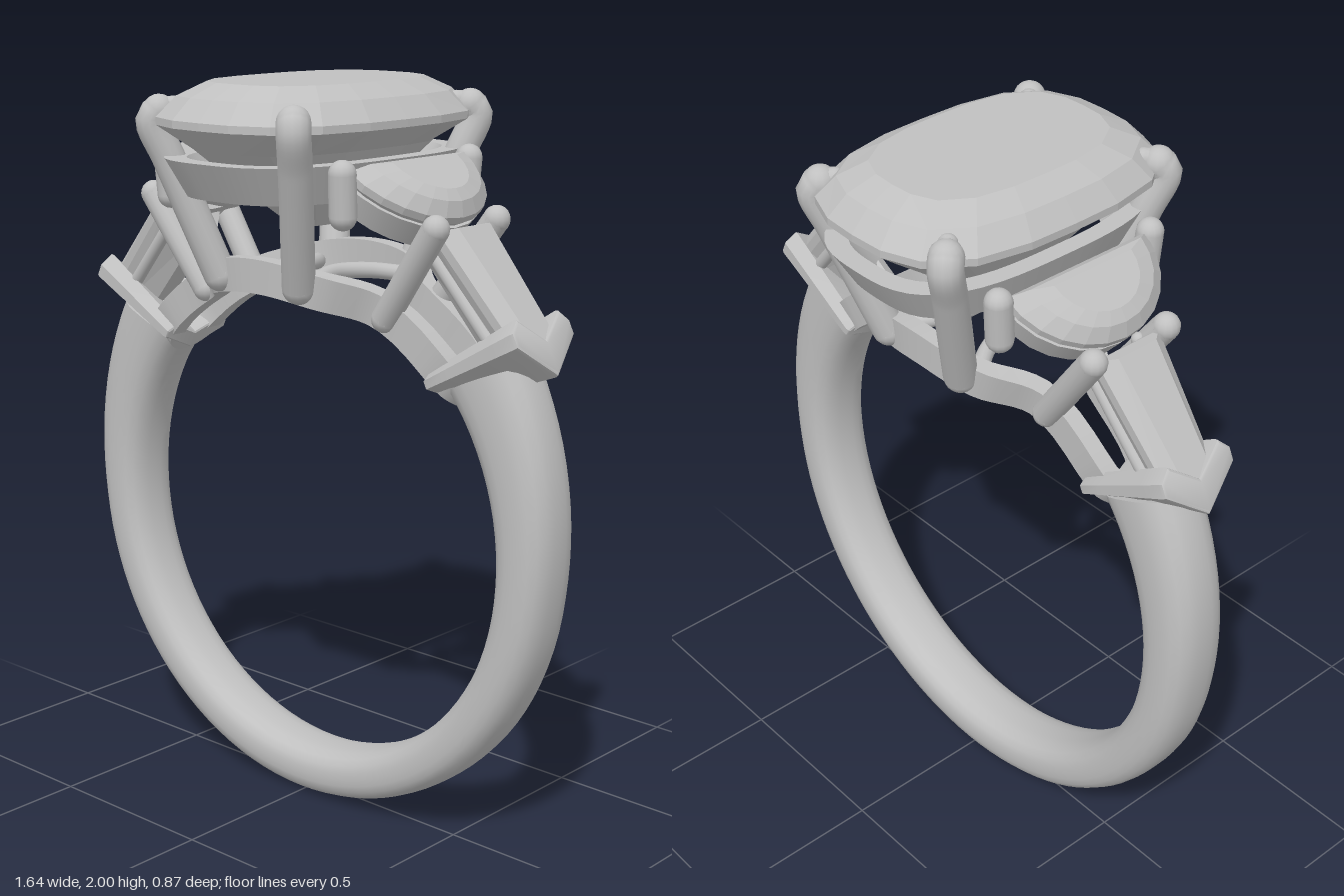
import * as THREE from 'three';
import { toCreasedNormals, mergeVertices } from 'three/addons/utils/BufferGeometryUtils.js';

const silver = new THREE.MeshStandardMaterial({ color: 0xc0c0c0 });
silver.name = 'silver';

const V = (x, y, z) => new THREE.Vector3(x, y, z);
const CY = 0.8, R = 0.66; // finger hole centre height and radius

function add(parent, name, geometry) {
  const mesh = new THREE.Mesh(geometry, silver);
  mesh.name = name;
  parent.add(mesh);
  return mesh;
}

// Skin between loops of equal point count; crease 0 gives flat facets
function loft(rings, { caps = true, crease = 0 } = {}) {
  const pos = [], n = rings[0].length;
  const tri = (...pts) => pts.forEach(p => pos.push(p.x, p.y, p.z));
  for (let k = 0; k < rings.length - 1; k++) {
    for (let i = 0; i < n; i++) {
      const j = (i + 1) % n, a = rings[k], b = rings[k + 1];
      if ((i + k) % 2) { tri(a[i], a[j], b[i]); tri(a[j], b[j], b[i]); }
      else { tri(a[i], a[j], b[j]); tri(a[i], b[j], b[i]); }
    }
  }
  if (caps) {
    [rings[0], rings[rings.length - 1]].forEach((ring, end) => {
      const c = ring.reduce((s, p) => s.add(p), V(0, 0, 0)).divideScalar(n);
      for (let i = 0; i < n; i++) {
        const j = (i + 1) % n;
        if (end) tri(c, ring[i], ring[j]); else tri(c, ring[j], ring[i]);
      }
    });
  }
  const g = new THREE.BufferGeometry();
  g.setAttribute('position', new THREE.Float32BufferAttribute(pos, 3));
  if (crease) return toCreasedNormals(mergeVertices(g), crease);
  g.computeVertexNormals();
  return g;
}

// Round wire with ball ends
function rod(parent, name, points, r) {
  const group = new THREE.Group();
  group.name = name;
  parent.add(group);
  const curve = new THREE.CatmullRomCurve3(points);
  add(group, name + 'Wire', new THREE.TubeGeometry(curve, 8 * points.length, r, 14));
  for (const p of [points[0], points[points.length - 1]]) {
    add(group, name + 'End', new THREE.SphereGeometry(r, 14, 10)).position.copy(p);
  }
}

// Cushion outline with half sizes a, b
function cushion(a, b, y, n = 28, p = 3) {
  return Array.from({ length: n }, (_, i) => {
    const t = (i / n) * Math.PI * 2, c = Math.cos(t), s = Math.sin(t);
    const k = (Math.abs(c) ** p + Math.abs(s) ** p) ** (-1 / p);
    return V(a * c * k, y, b * s * k);
  });
}

// Half-moon outline, scaled about a point inside it
function halfMoon(scale, y, n = 12) {
  return Array.from({ length: n + 1 }, (_, i) => {
    const t = (i / n - 0.5) * Math.PI;
    return V(0.08 + (0.215 * Math.cos(t) - 0.08) * scale, y, 0.23 * Math.sin(t) * scale);
  });
}

// Pointed tapered baguette outline
function baguette(scale, y) {
  const L = 0.35;
  return [[0, -0.105], [L, -0.08], [L + 0.03, 0], [L, 0.08], [0, 0.105]]
    .map(([x, z]) => V(L / 2 + (x - L / 2) * (0.75 + 0.25 * scale), y, z * scale));
}

// Shank: rounded section that thickens toward the shoulders
function shank() {
  const rings = [], N = 72;
  for (let k = 0; k <= N; k++) {
    const s = 1 - (2 * k) / N;
    const a = Math.abs(s) * 130;
    const thick = 0.138 + 0.014 * (a / 90) ** 2 + 0.06 * Math.max(0, (a - 85) / 42) ** 1.5;
    rings.push(cushion(0.5, 0.092, 0, 24, 2.8).map(p => {
      const t = p.x + 0.5, r = R + thick * t;
      const ang = THREE.MathUtils.degToRad(-90 + s * (132 - 5 * t));
      return V(r * Math.cos(ang), CY + r * Math.sin(ang), p.z);
    }));
  }
  return loft(rings, { crease: 0.8 });
}

// Lower gallery: a loop bent around the finger hole
function lowerGallery() {
  const half = [[0.62, 0], [0.58, 0.06], [0.3, 0.095], [0.17, 0.195]];
  const pts = [
    ...half, [0, 0.22],
    ...half.slice(1).reverse().map(([x, z]) => [-x, z]), [-0.62, 0],
    ...half.slice(1).map(([x, z]) => [-x, -z]), [0, -0.22],
    ...half.slice(1).reverse().map(([x, z]) => [x, -z]),
  ].map(([x, z]) => V(x, 0, z));
  const curve = new THREE.CatmullRomCurve3(pts, true);
  const N = 96;
  const ring = (off, r) => Array.from({ length: N }, (_, i) => {
    const p = curve.getPoint(i / N), d = curve.getTangent(i / N);
    const x = p.x + d.z * off, z = p.z - d.x * off;
    return V(r * Math.sin(x / 0.7), CY + r * Math.cos(x / 0.7), z);
  });
  const o = 0.024, top = R + 0.09;
  return loft([ring(o, top), ring(o, R), ring(-o, R), ring(-o, top), ring(o, top)],
    { caps: false, crease: 0.7 });
}

// V-shaped end prong running from the finger hole out past the stone tip
function vProng() {
  const s = new THREE.Shape();
  [[0, -0.015], [0.085, -0.08], [0.11, -0.055], [0.11, -0.025], [0, 0.06],
    [-0.11, -0.025], [-0.11, -0.055], [-0.085, -0.08]]
    .forEach(([x, y], i) => (i ? s.lineTo(x, y) : s.moveTo(x, y)));
  const depth = 0.3;
  const g = new THREE.ExtrudeGeometry(s, { depth, steps: 4, bevelEnabled: true,
    bevelSize: 0.008, bevelThickness: 0.012, bevelSegments: 2 });
  const p = g.attributes.position;
  for (let i = 0; i < p.count; i++) p.setY(i, p.getY(i) * (0.6 + 0.4 * p.getZ(i) / depth));
  const d = V(0.9, 0.436, 0).normalize(), x = V(0, 0, 1);
  const m = new THREE.Matrix4().makeBasis(x, d.clone().cross(x), d);
  m.setPosition(0.49, 1.25, 0);
  g.applyMatrix4(m);
  return toCreasedNormals(g, 0.6);
}

// One shoulder on +x: half-moon stone, baguette, their rails and prongs
function shoulder(name) {
  const g = new THREE.Group();
  g.name = name;

  const moon = new THREE.Group();
  moon.name = 'halfMoonSetting';
  moon.position.set(0.315, 1.8, 0);
  moon.rotation.z = -0.59;
  g.add(moon);
  add(moon, 'halfMoonStone', loft([halfMoon(0.55, 0.045), halfMoon(0.8, 0.032),
    halfMoon(1, 0), halfMoon(1, -0.02), halfMoon(0.6, -0.09), halfMoon(0.15, -0.14)]));
  add(moon, 'halfMoonRail', loft([halfMoon(0.98, -0.035), halfMoon(0.9, -0.105),
    halfMoon(0.68, -0.105), halfMoon(0.76, -0.035), halfMoon(0.98, -0.035)],
  { caps: false, crease: 0.7 }));

  const bag = new THREE.Group();
  bag.name = 'baguetteSetting';
  bag.position.set(0.505, 1.665, 0);
  bag.rotation.z = -0.855;
  g.add(bag);
  add(bag, 'baguetteStone', loft([baguette(0.6, 0.018), baguette(1, -0.012),
    baguette(1, -0.035), baguette(0.75, -0.085), baguette(0.35, -0.14)]));

  for (const z of [-1, 1]) {
    rod(g, 'halfMoonProng', [V(0.308, 1.69, 0.242 * z), V(0.312, 1.795, 0.25 * z)], 0.036);
    rod(g, 'baguetteProng', [V(0.325, 1.415, 0.1 * z), V(0.505, 1.665, 0.122 * z)], 0.036);
    rod(bag, 'baguetteRail', [V(0.0, -0.075, 0.085 * z), V(0.34, -0.075, 0.07 * z)], 0.018);
  }
  add(g, 'vProng', vProng());

  // Curved tie across the lower gallery
  rod(g, 'galleryTie', [V(0.17, 1.475, 0.19), V(0.1, 1.49, 0.1), V(0.07, 1.495, 0),
    V(0.1, 1.49, -0.1), V(0.17, 1.475, -0.19)], 0.022);
  return g;
}

export function createModel() {
  const ring = new THREE.Group();
  ring.name = 'threeStoneRing';

  add(ring, 'shank', shank());
  add(ring, 'lowerGallery', lowerGallery());

  // Centre stone: table, crown, girdle, pavilion and culet
  const c = (a, b, y) => cushion(a, b, y, 20);
  add(ring, 'centreStone', loft([c(0.2, 0.31, 2.0), c(0.265, 0.385, 1.965), c(0.31, 0.435, 1.912),
    c(0.31, 0.435, 1.892), c(0.21, 0.36, 1.83), c(0.15, 0.24, 1.74), c(0.05, 0.08, 1.62)]));

  // Flared rail under the centre stone
  const rail = (a, b, y) => cushion(a, b, y, 56);
  add(ring, 'upperGallery', loft([rail(0.275, 0.43, 1.81), rail(0.235, 0.37, 1.71),
    rail(0.18, 0.31, 1.71), rail(0.225, 0.375, 1.81), rail(0.275, 0.43, 1.81)],
  { caps: false, crease: 0.7 }));

  // Four claws holding the centre stone
  for (const x of [-1, 1]) for (const z of [-1, 1]) {
    rod(ring, 'centreClaw', [V(0.142 * x, 1.49, 0.225 * z), V(0.225 * x, 1.8, 0.325 * z),
      V(0.25 * x, 1.9, 0.358 * z), V(0.238 * x, 1.922, 0.345 * z)], 0.044);
    rod(ring, 'clawTip', [V(0.24 * x, 1.93, 0.35 * z), V(0.212 * x, 1.935, 0.318 * z)], 0.026);
  }

  ring.add(shoulder('leftShoulder'));
  const right = shoulder('rightShoulder');
  right.rotation.y = Math.PI;
  ring.add(right);
  return ring;
}
